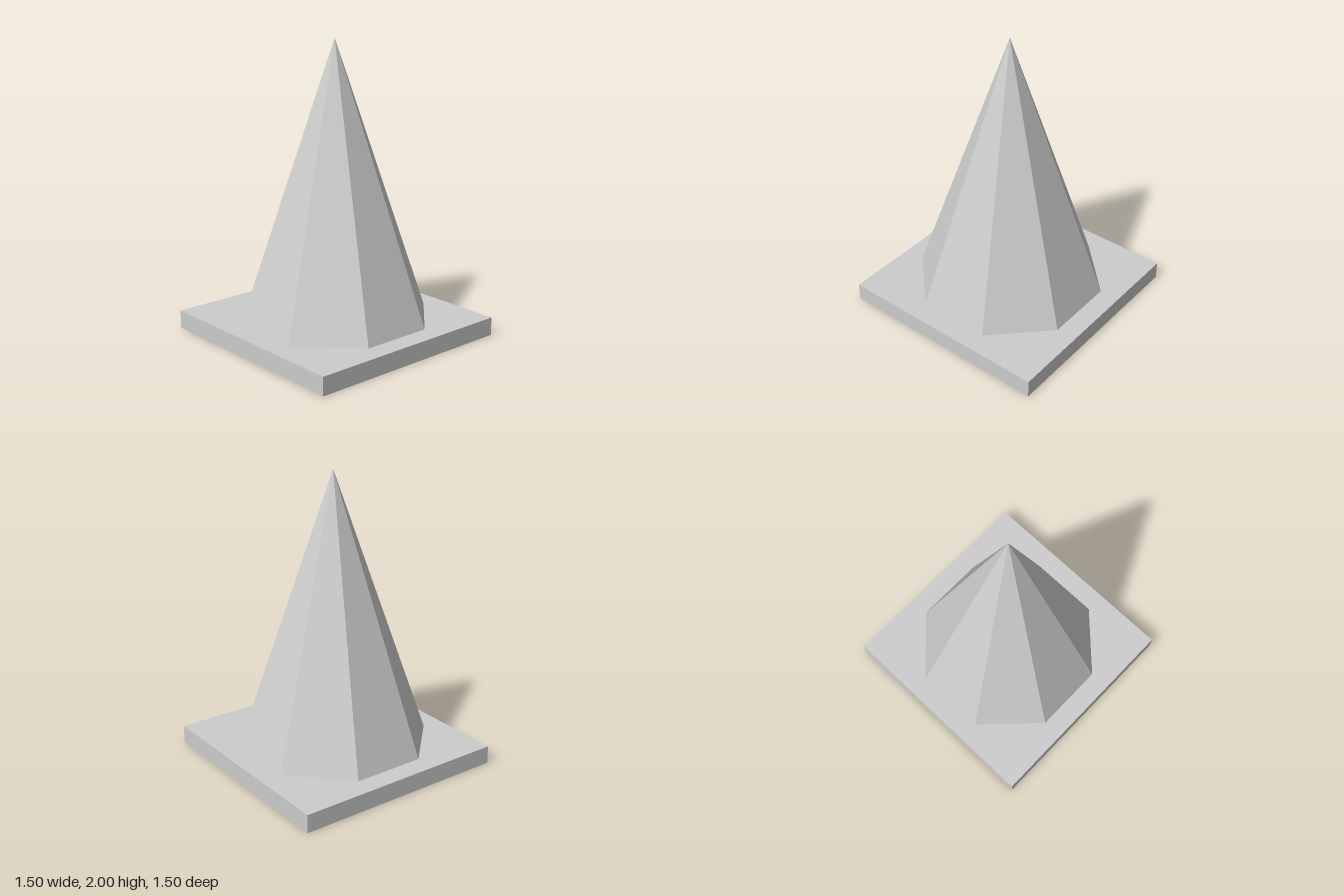
import * as THREE from 'three';

export function createModel() {
  const group = new THREE.Group();
  group.name = 'cone';

  const grey = new THREE.MeshStandardMaterial({ color: 0xcccccc, flatShading: true });
  grey.name = 'light grey';

  const baseHeight = 0.125;
  const coneHeight = 2 - baseHeight;

  // Square base plate
  const base = new THREE.Mesh(new THREE.BoxGeometry(1.5, baseHeight, 1.5), grey);
  base.name = 'basePlate';
  base.position.y = baseHeight / 2;
  group.add(base);

  // Eight-sided spire, turned so that a flat side faces the front
  const spire = new THREE.Mesh(
    new THREE.ConeGeometry(0.657, coneHeight, 8, 1, true, Math.PI / 8),
    grey
  );
  spire.name = 'spire';
  spire.position.y = baseHeight + coneHeight / 2;
  group.add(spire);

  return group;
}
